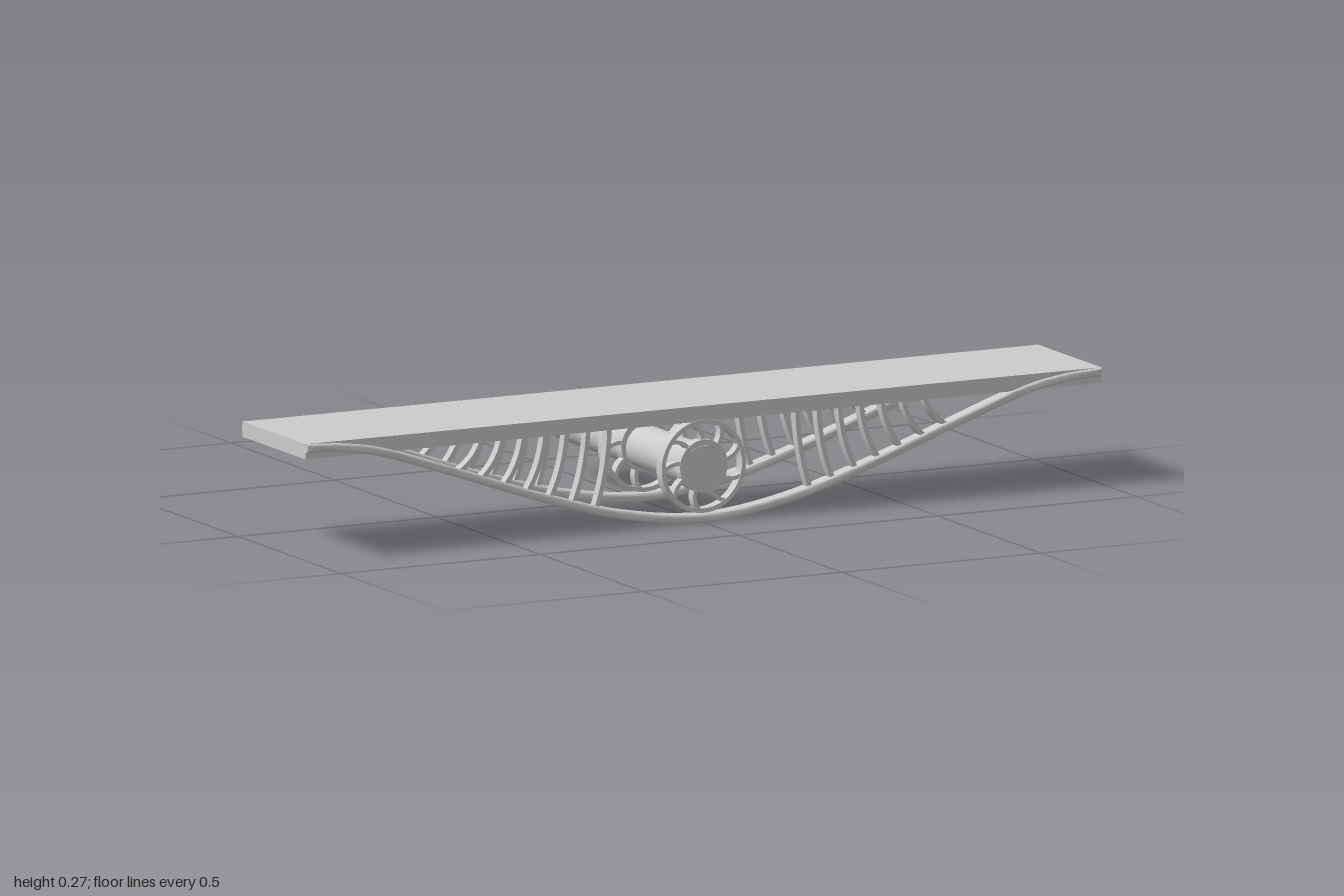
import * as THREE from 'three';
import { toCreasedNormals } from 'three/addons/utils/BufferGeometryUtils.js';

const material = new THREE.MeshStandardMaterial({ color: 0xcccccc });
const HUB_Y = 0.128;
const FRAME_Z = [0.317, 0.033];
const SLAB_BOTTOM = 0.23;

function add(parent, name, geometry, x = 0, y = 0, z = 0) {
  const mesh = new THREE.Mesh(geometry, material);
  mesh.name = name;
  mesh.position.set(x, y, z);
  parent.add(mesh);
  return mesh;
}

// Extrude a shape along z, centred on z = 0, with rounded edges if bevel > 0
function extrude(shape, depth, bevel = 0) {
  const geometry = new THREE.ExtrudeGeometry(shape, {
    depth: depth - 2 * bevel, curveSegments: 40,
    bevelEnabled: bevel > 0, bevelSize: bevel, bevelThickness: bevel, bevelSegments: 3,
  });
  geometry.translate(0, 0, bevel - depth / 2);
  return toCreasedNormals(geometry, 0.7);
}

// Band of constant width that follows a flat curve
function band(curve, width, depth, steps, bevel = 0) {
  const half = width / 2 - bevel;
  const upper = [], lower = [];
  for (let i = 0; i <= steps; i++) {
    const p = curve.getPoint(i / steps);
    const t = curve.getTangent(i / steps);
    upper.push(new THREE.Vector2(p.x - t.y * half, p.y + t.x * half));
    lower.unshift(new THREE.Vector2(p.x + t.y * half, p.y - t.x * half));
  }
  return extrude(new THREE.Shape([...lower, ...upper]), depth, bevel);
}

function ring(outer, inner, depth) {
  const shape = new THREE.Shape().absarc(0, 0, outer, 0, Math.PI * 2);
  shape.holes.push(new THREE.Path().absarc(0, 0, inner, 0, Math.PI * 2, true));
  return extrude(shape, depth);
}

// Sagging line of the lower rail, mirrored about x = 0
const half = [[0.2, 0.034], [0.4, 0.09], [0.62, 0.167], [0.8, 0.228], [0.9, 0.248], [0.995, 0.255]];
const railCurve = new THREE.SplineCurve([
  ...half.map(([x, y]) => new THREE.Vector2(-x, y)).reverse(),
  new THREE.Vector2(0, 0.01),
  ...half.map(([x, y]) => new THREE.Vector2(x, y)),
]);
const railSamples = railCurve.getPoints(400);
const railY = (x) => railSamples.find((p) => p.x >= x).y;

function createWheel() {
  const wheel = new THREE.Group();
  wheel.name = 'spokedWheel';
  add(wheel, 'wheelRim', ring(0.106, 0.096, 0.026));
  add(wheel, 'hubRing', ring(0.06, 0.047, 0.026));
  const spokeCurve = new THREE.QuadraticBezierCurve(
    new THREE.Vector2(0.056, 0), new THREE.Vector2(0.084, 0.002), new THREE.Vector2(0.097, 0.024));
  const spoke = band(spokeCurve, 0.009, 0.022, 8);
  const count = 9;
  for (let i = 0; i < count; i++) {
    add(wheel, 'spoke', spoke).rotation.z = Math.PI / 2 + (i / count) * Math.PI * 2;
  }
  return wheel;
}

function createSideFrame() {
  const frame = new THREE.Group();
  frame.name = 'sideFrame';
  add(frame, 'curvedRail', band(railCurve, 0.02, 0.035, 90, 0.005));

  // Seven bowed ribs on each side, shorter towards the ends
  for (let i = 0; i < 7; i++) {
    const top = 0.236 + i * 0.0535;
    const bottom = 0.27 + i * 0.0575;
    const y = railY(bottom);
    const ribCurve = new THREE.QuadraticBezierCurve(
      new THREE.Vector2(top, SLAB_BOTTOM + 0.008),
      new THREE.Vector2(top + 0.004 + i * 0.001, y + (SLAB_BOTTOM - y) * 0.45),
      new THREE.Vector2(bottom, y));
    const rib = band(ribCurve, 0.011, 0.022, 10);
    add(frame, 'rib', rib);
    add(frame, 'rib', rib).rotation.y = Math.PI;
  }

  const wheel = createWheel();
  wheel.position.y = HUB_Y;
  frame.add(wheel);
  return frame;
}

export function createModel() {
  const model = new THREE.Group();
  model.name = 'beamOnShaft';

  // Flat slab on top
  add(model, 'topSlab', new THREE.BoxGeometry(2, 0.035, 0.306), 0, 0.2475, 0.175);

  // Long round shaft running through both wheels
  const shaft = new THREE.CylinderGeometry(0.049, 0.049, 0.665, 48);
  shaft.rotateX(Math.PI / 2);
  add(model, 'shaft', shaft, 0, 0.125, -0.0025);

  // Front and back frames
  for (const z of FRAME_Z) {
    const frame = createSideFrame();
    frame.position.z = z;
    model.add(frame);
  }
  return model;
}
